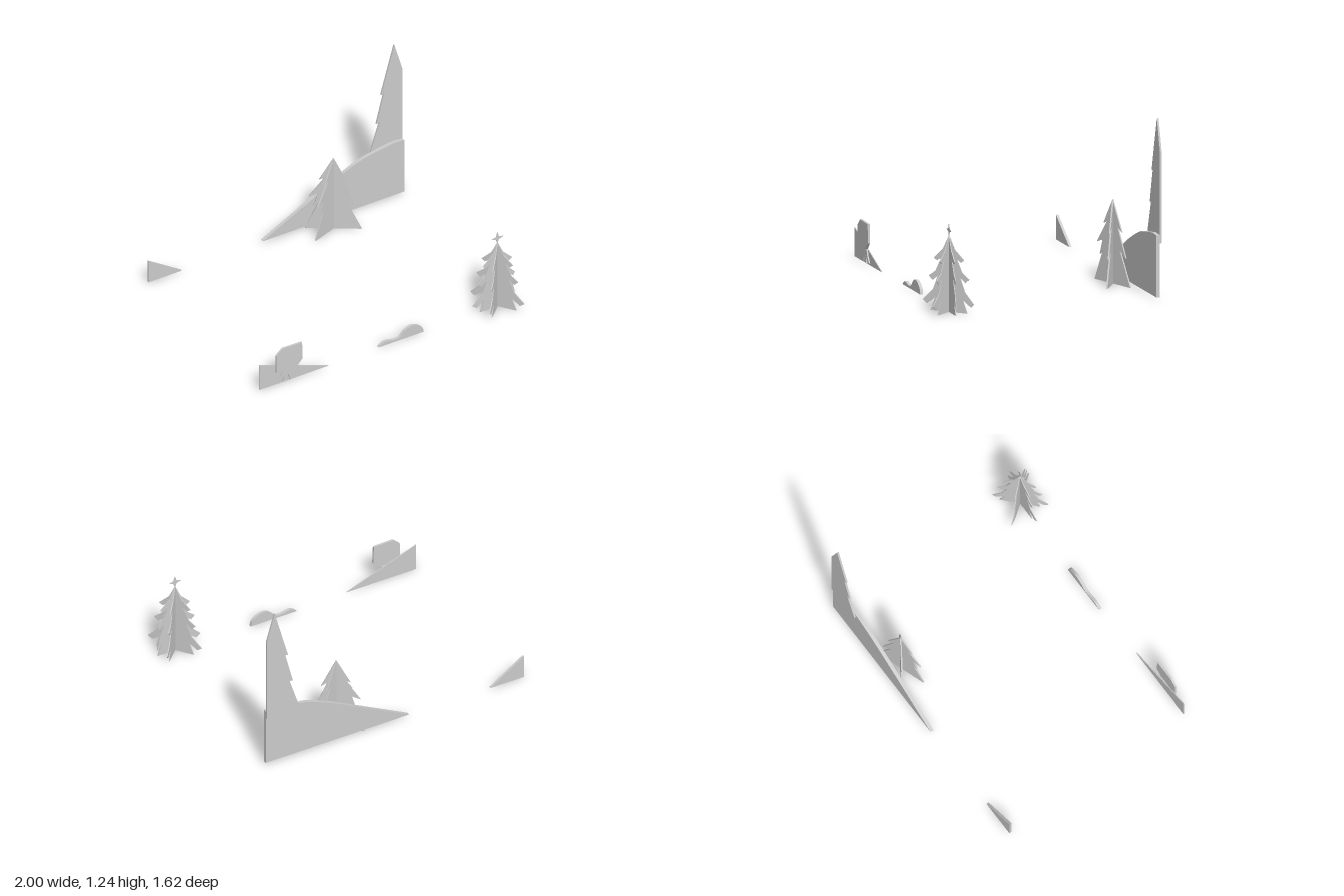
import * as THREE from 'three';

const material = new THREE.MeshStandardMaterial({ color: 0xcccccc, flatShading: true, side: THREE.DoubleSide });

// Flat cut-out: an outline in x/y, extruded from z0 to z1
function slab(name, points, z0, z1) {
  const shape = new THREE.Shape(points.map(([x, y]) => new THREE.Vector2(x, y)));
  const geometry = new THREE.ExtrudeGeometry(shape, { depth: z1 - z0, bevelEnabled: false });
  geometry.translate(0, 0, z0);
  const mesh = new THREE.Mesh(geometry, material);
  mesh.name = name;
  return mesh;
}

// Crossed cut-outs; each panel has an angle and an optional limit on its right half
function crossedTree(name, x, z, left, right, apex, thickness, panels) {
  const tree = new THREE.Group();
  tree.name = name;
  tree.position.set(x, 0, z);
  for (const [angle, limit = 1] of panels) {
    const outline = [
      [0, apex],
      ...right.map(([w, y]) => [Math.min(w, limit), y]),
      ...[...left].reverse().map(([w, y]) => [-w, y]),
    ];
    const panel = slab('treePanel', outline, -thickness / 2, thickness / 2);
    panel.rotation.y = angle;
    tree.add(panel);
  }
  return tree;
}

export function createModel() {
  const scene = new THREE.Group();
  scene.name = 'winterScenery';

  // Background hills and the tall cropped tree behind them
  scene.add(slab('largeHill', [
    [-0.11, 0.02], [1, 0.02], [1, 0.445], [0.92, 0.45], [0.82, 0.435], [0.69, 0.412], [0.6, 0.38], [0.465, 0.32],
  ], -0.805, -0.78));
  scene.add(slab('smallBackHill', [[-1, 0.01], [-0.74, 0.01], [-1, 0.18]], -0.803, -0.785));
  scene.add(slab('tallTree', [
    [0.742, 0.39], [1, 0.39], [1, 1.02], [0.938, 1.235], [0.834, 0.86], [0.856, 0.865], [0.797, 0.635], [0.823, 0.642],
  ], -0.818, -0.805));

  // Middle tree made of two crossed panels
  scene.add(crossedTree('middleTree', 0.39, -0.69,
    [[0.096, 0.4], [0.06, 0.415], [0.164, 0.262], [0.105, 0.285], [0.135, 0.18], [0.1, 0.215], [0.19, 0]],
    [[0.1, 0.364], [0.055, 0.395], [0.141, 0.193], [0.08, 0.235], [0.19, 0]],
    0.576, 0.01, [[0.334], [-0.565]]));

  // Front tree made of three crossed panels with forked branch tips
  const branches = [
    [0.045, 0.43], [0.114, 0.362], [0.09, 0.345], [0.06, 0.365],
    [0.1, 0.275], [0.152, 0.235], [0.123, 0.208], [0.085, 0.24],
    [0.12, 0.145], [0.196, 0.068], [0.165, 0.045], [0.105, 0.088],
    [0.138, 0],
  ];
  const frontTree = crossedTree('frontTree', 0.865, 0.647, branches, branches, 0.527, 0.006,
    [[0, 0.135], [-0.93], [0.758, 0.186]]);
  const star = Array.from({ length: 8 }, (_, i) => {
    const r = i % 2 ? 0.016 : 0.047, a = i * Math.PI / 4;
    return [r * Math.cos(a), 0.56 + r * Math.sin(a)];
  });
  frontTree.add(slab('treeStar', star, -0.002, 0.002));
  scene.add(frontTree);

  // Low mound with a soft double crest
  const mound = new THREE.SplineCurve([
    [-0.065, 0], [-0.04, 0.018], [-0.01, 0.03], [0.05, 0.018], [0.1, 0.022], [0.15, 0.068],
    [0.2, 0.082], [0.25, 0.062], [0.28, 0.035], [0.29, 0],
  ].map(([x, y]) => new THREE.Vector2(x, y)));
  scene.add(slab('lowMound', mound.getPoints(30).map(p => [p.x, Math.max(0, p.y)]), 0.624, 0.645));

  // Front slope with the clipped block standing on spread roots
  scene.add(slab('frontSlope', [[-1, 0], [-0.46, 0], [-1, 0.2]], 0.643, 0.65));
  scene.add(slab('block', [
    [-0.83, 0.29], [-0.68, 0.286], [-0.675, 0.155], [-0.72, 0.107], [-0.88, 0.107], [-0.88, 0.245],
  ], 0.656, 0.671));
  scene.add(slab('roots', [
    [-0.82, 0.11], [-0.84, 0.06], [-0.872, 0.012], [-0.85, 0.006], [-0.81, 0.06], [-0.825, 0.008], [-0.8, 0.006],
    [-0.782, 0.055], [-0.765, 0.006], [-0.74, 0.008], [-0.75, 0.06], [-0.705, 0.006], [-0.685, 0.014],
    [-0.72, 0.06], [-0.735, 0.11],
  ], 0.65, 0.66));

  return scene;
}
